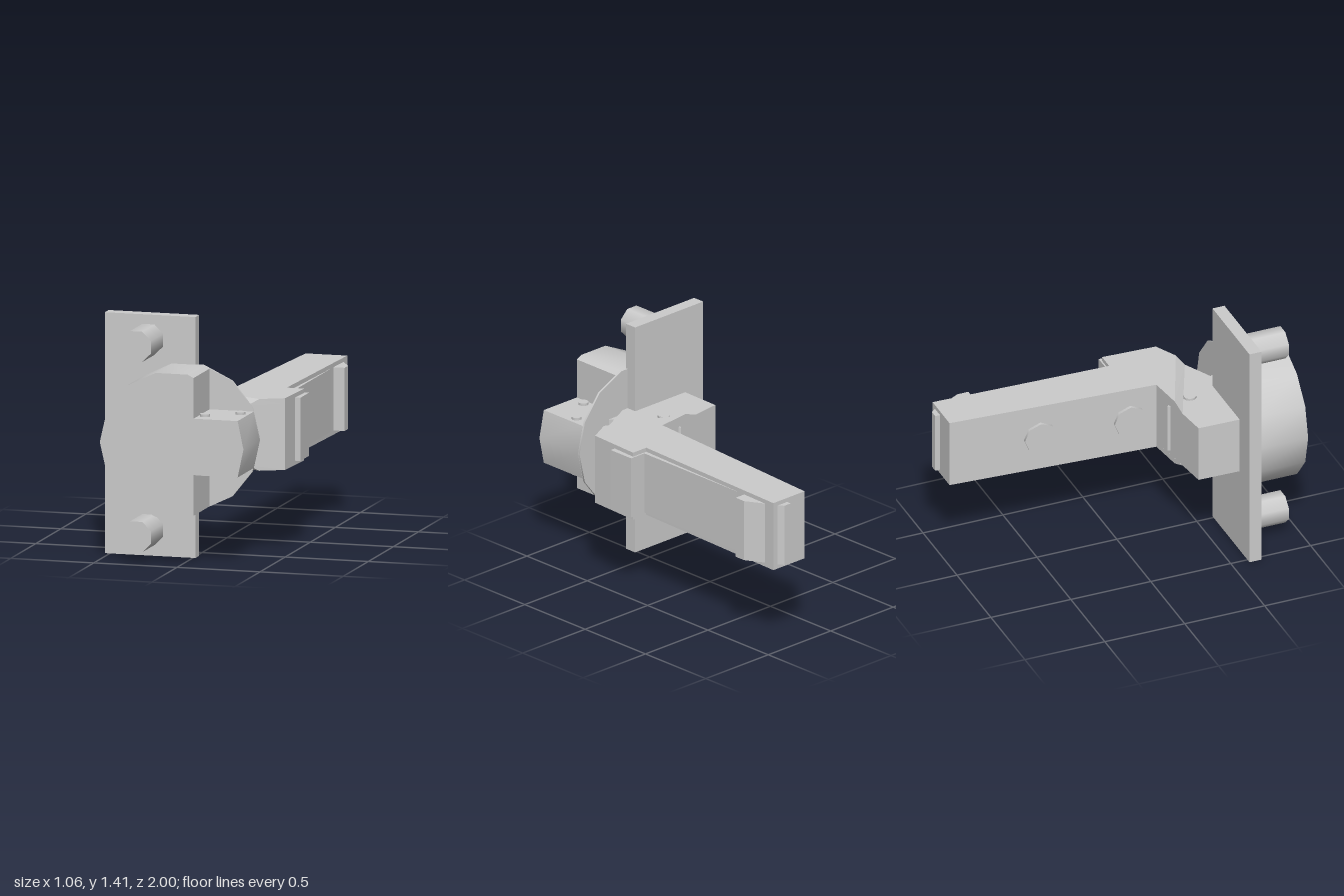
import * as THREE from 'three';
import { toCreasedNormals } from 'three/addons/utils/BufferGeometryUtils.js';

const MID = 0.71; // height of the symmetry plane

export function createModel() {
  const model = new THREE.Group();
  const material = new THREE.MeshStandardMaterial({ color: 0xcccccc });

  function add(name, geometry) {
    const mesh = new THREE.Mesh(geometry, material);
    mesh.name = name;
    model.add(mesh);
    return mesh;
  }

  // Upright prism from a plan outline of [x, z] points
  function prism(points, y0, y1) {
    const shape = new THREE.Shape(points.map(([x, z]) => new THREE.Vector2(x, -z)));
    const g = new THREE.ExtrudeGeometry(shape, { depth: y1 - y0, bevelEnabled: false });
    return g.rotateX(-Math.PI / 2).translate(0, y0, 0);
  }

  function cylinder(name, r, length, sides, x, y, z) {
    const mesh = add(name, new THREE.CylinderGeometry(r, r, length, sides));
    mesh.position.set(x, y, z);
    return mesh;
  }

  // Mounting plate with two octagonal pins
  add('mountingPlate', new THREE.BoxGeometry(0.545, 1.41, 0.075).translate(-0.2575, 0.705, 0.6425));
  for (const y of [0.152, 1.265]) {
    const pin = cylinder('mountingPin', 0.096, 0.245, 8, -0.268, y, 0.8025);
    pin.geometry.rotateY(Math.PI / 8);
    pin.rotation.x = Math.PI / 2;
  }

  // Round knob: fourteen sides, with two corners cut away to leave a tab
  const cx = -0.032, r = 0.432;
  const rim = (i) => {
    const a = (i * Math.PI) / 7;
    return [cx + r * Math.cos(a), MID + r * Math.sin(a)];
  };
  const half = [[0.365, 0.875], [0.1, 0.875], [0.1, 1.113]];
  for (let i = 3; i <= 6; i++) half.push(rim(i));
  const lower = half.map(([x, y]) => [x, 2 * MID - y]).reverse();
  const extrudeZ = (pts, z0, z1) => toCreasedNormals(
    new THREE.ExtrudeGeometry(
      new THREE.Shape(pts.map((p) => new THREE.Vector2(...p))),
      { depth: z1 - z0, bevelEnabled: false }
    ).translate(0, 0, z0), 0.5);
  add('knob', extrudeZ([rim(0), ...half, rim(7), ...lower], 0.68, 1));
  add('knobBackDisc', extrudeZ(Array.from({ length: 14 }, (_, i) => rim(i)), 0.667, 0.68));

  // Screws on both faces of the tab and of the arm base
  for (const side of [-1, 1]) {
    for (const [x, z] of [[0.14, 0.905], [0.315, 0.78]]) {
      cylinder('tabScrew', 0.03, 0.03, 12, x, MID + side * 0.165, z);
    }
    cylinder('baseScrew', 0.038, 0.03, 12, -0.05, MID + side * 0.173, 0.435);
  }

  // Bent arm: a common core, then a thicker layer with a bevelled end above and below
  const beam = [[0.1, 0.29], [0.18, -0.97], [0.43, -0.97], [0.395, 0.12], [0.5, 0.12], [0.485, 0.45]];
  add('armCore', prism(
    [[-0.385, 0.605], [-0.38, 0.35], ...beam, [0.05, 0.67], [0, 0.67], [0, 0.605]], 0.535, 0.885));
  const bevel = [[[-0.2, 0.327], [-0.11, 0.316]], [[0.29, 0.549], [0.35, 0.518]]];
  for (const side of [-1, 1]) {
    const y0 = side > 0 ? 0.885 : 0.5;
    const outer = side > 0 ? 0.92 : 0.5;
    const g = prism([bevel[0][0], ...beam, bevel[1][0]], y0, y0 + 0.035);
    const p = g.attributes.position;
    for (let i = 0; i < p.count; i++) {
      if (Math.abs(p.getY(i) - outer) > 0.001) continue;
      for (const [from, to] of bevel) {
        if (Math.hypot(p.getX(i) - from[0], p.getZ(i) - from[1]) < 0.001) p.setXYZ(i, to[0], outer, to[1]);
      }
    }
    g.computeVertexNormals();
    add('armLayer', g);
  }

  // Raised details along the arm
  const details = {
    sidePad: [[0.42, 0.11], [0.42, 0.28], [0.525, 0.28], [0.525, 0.11]],
    sidePanel: [[0.39, 0.12], [0.42, 0.12], [0.422, -0.66], [0.4, -0.66]],
    endHook: [[0.41, -0.72], [0.49, -0.72], [0.49, -0.79], [0.428, -0.9], [0.41, -0.9]],
    endNub: [[0.32, -0.96], [0.395, -0.97], [0.37, -1], [0.32, -1]],
  };
  for (const [name, outline] of Object.entries(details)) add(name, prism(outline, 0.525, 0.895));
  add('baseRib', prism([[-0.065, 0.32], [-0.035, 0.32], [-0.052, 0.295]], 0.56, 0.86));
  add('baseWedge', prism([[0.09, 0.67], [0.165, 0.67], [0.14, 0.63]], 0.56, 0.86));

  // Octagonal buttons lying on the sloped inner face
  for (const [x, z] of [[0.141, -0.417], [0.106, 0.13]]) {
    const button = add('armButton', new THREE.CylinderGeometry(0.1, 0.1, 0.03, 8).rotateZ(Math.PI / 2));
    button.position.set(x, MID, z);
    button.rotation.y = -0.063;
  }

  return model;
}
